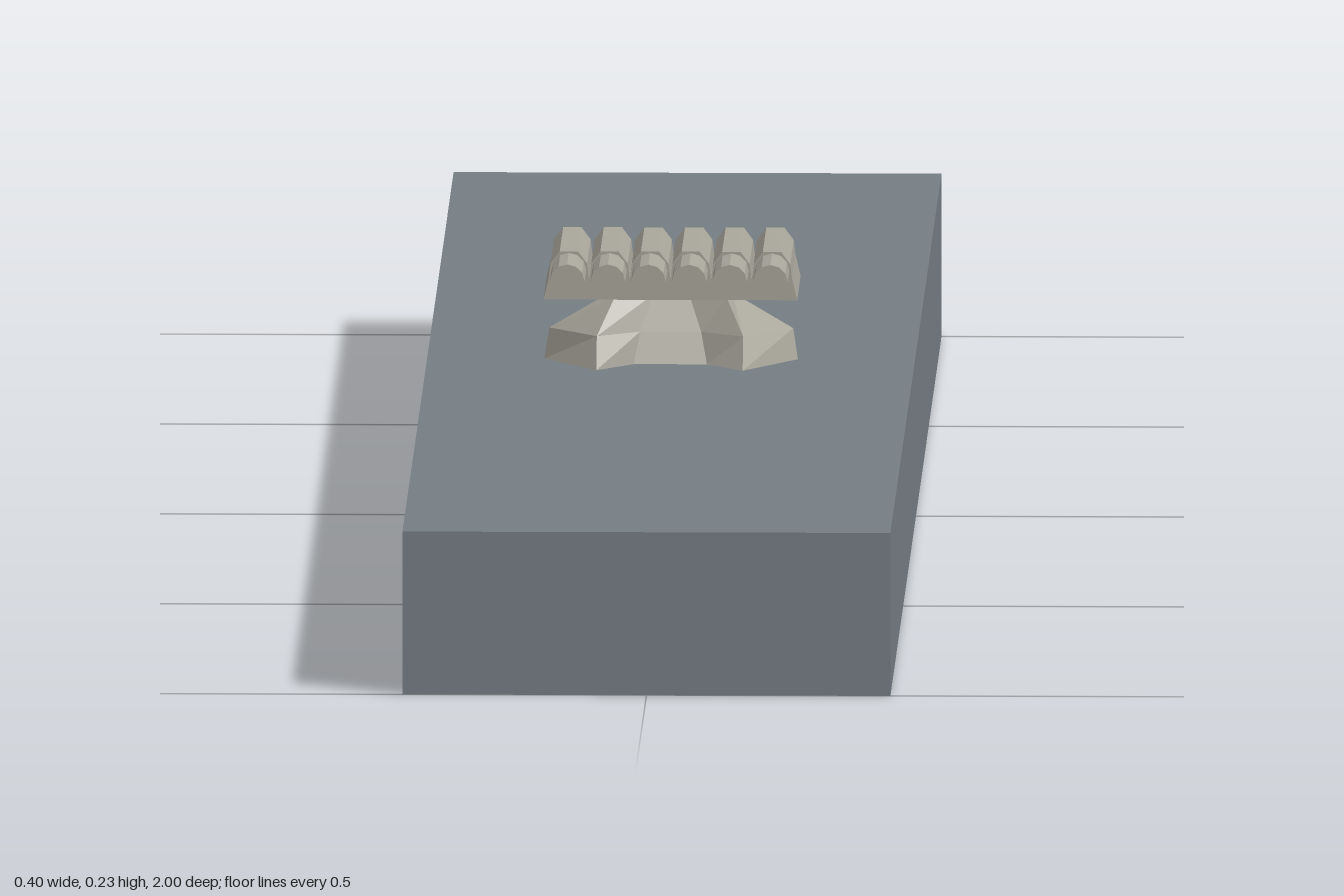
import * as THREE from 'three';

export function createModel() {
  const model = new THREE.Group();
  const slate = new THREE.MeshStandardMaterial({ color: 0x757d83, flatShading: true });
  slate.name = 'slate grey';
  const stone = new THREE.MeshStandardMaterial({ color: 0xa9a69b, flatShading: true });
  stone.name = 'warm grey';

  const add = (name, geometry, material, x = 0, y = 0, z = 0) => {
    const mesh = new THREE.Mesh(geometry, material);
    mesh.name = name;
    mesh.position.set(x, y, z);
    model.add(mesh);
    return mesh;
  };

  // Long deck slab
  add('deck', new THREE.BoxGeometry(0.4, 0.135, 2), slate, 0, 0.0675, 0);

  // Faceted pedestal: mirrored outlines [x, z], from back to notched front
  const levels = [
    { y: 0.135, half: [[0.03, -0.097], [0.08, -0.065], [0.104, 0.035], [0.06, 0.1], [0.03, 0.065]] },
    { y: 0.16, half: [[0.025, -0.065], [0.075, -0.045], [0.1, 0.03], [0.06, 0.078], [0.025, 0.052]] },
    { y: 0.188, half: [[0.015, -0.012], [0.04, -0.004], [0.05, 0.02], [0.046, 0.05], [0.015, 0.035]] },
  ];
  const rings = levels.map(({ y, half }) => [
    ...half.map(([x, z]) => [x, y, z]),
    ...half.map(([x, z]) => [-x, y, z]).reverse(),
  ]);
  const corners = [];
  const count = rings[0].length;
  for (let i = 0; i < count; i++) {
    const j = (i + 1) % count;
    for (let r = 0; r < 2; r++) {
      const a = rings[r][i], b = rings[r][j], A = rings[r + 1][i], B = rings[r + 1][j];
      corners.push(...a, ...A, ...b, ...b, ...A, ...B);
    }
    corners.push(0, 0.188, 0.02, ...rings[2][j], ...rings[2][i]);
  }
  const pedestal = new THREE.BufferGeometry();
  pedestal.setAttribute('position', new THREE.Float32BufferAttribute(corners, 3));
  pedestal.computeVertexNormals();
  add('pedestal', pedestal, stone);

  // Scalloped cradle that holds the tubes
  const pitch = 0.0333;
  const tubeX = [...Array(6).keys()].map((i) => (i - 2.5) * pitch);
  const profile = new THREE.Shape();
  profile.moveTo(-0.104, 0.188);
  profile.lineTo(0.104, 0.188);
  for (const x of [...tubeX].reverse()) {
    profile.lineTo(x + 0.0165, 0.206);
    profile.lineTo(x + 0.015, 0.218);
    profile.lineTo(x + 0.0075, 0.228);
    profile.lineTo(x - 0.0075, 0.228);
    profile.lineTo(x - 0.015, 0.218);
    profile.lineTo(x - 0.0165, 0.206);
  }
  profile.closePath();
  const cradle = new THREE.ExtrudeGeometry(profile, { depth: 0.135, bevelEnabled: false });
  add('cradle', cradle, stone, 0, 0, -0.072);

  // Row of six launch tubes
  const tube = new THREE.CylinderGeometry(0.0142, 0.0142, 0.207, 12).rotateX(Math.PI / 2);
  for (const x of tubeX) add('tube', tube, stone, x, 0.2125, 0.0235);

  return model;
}
